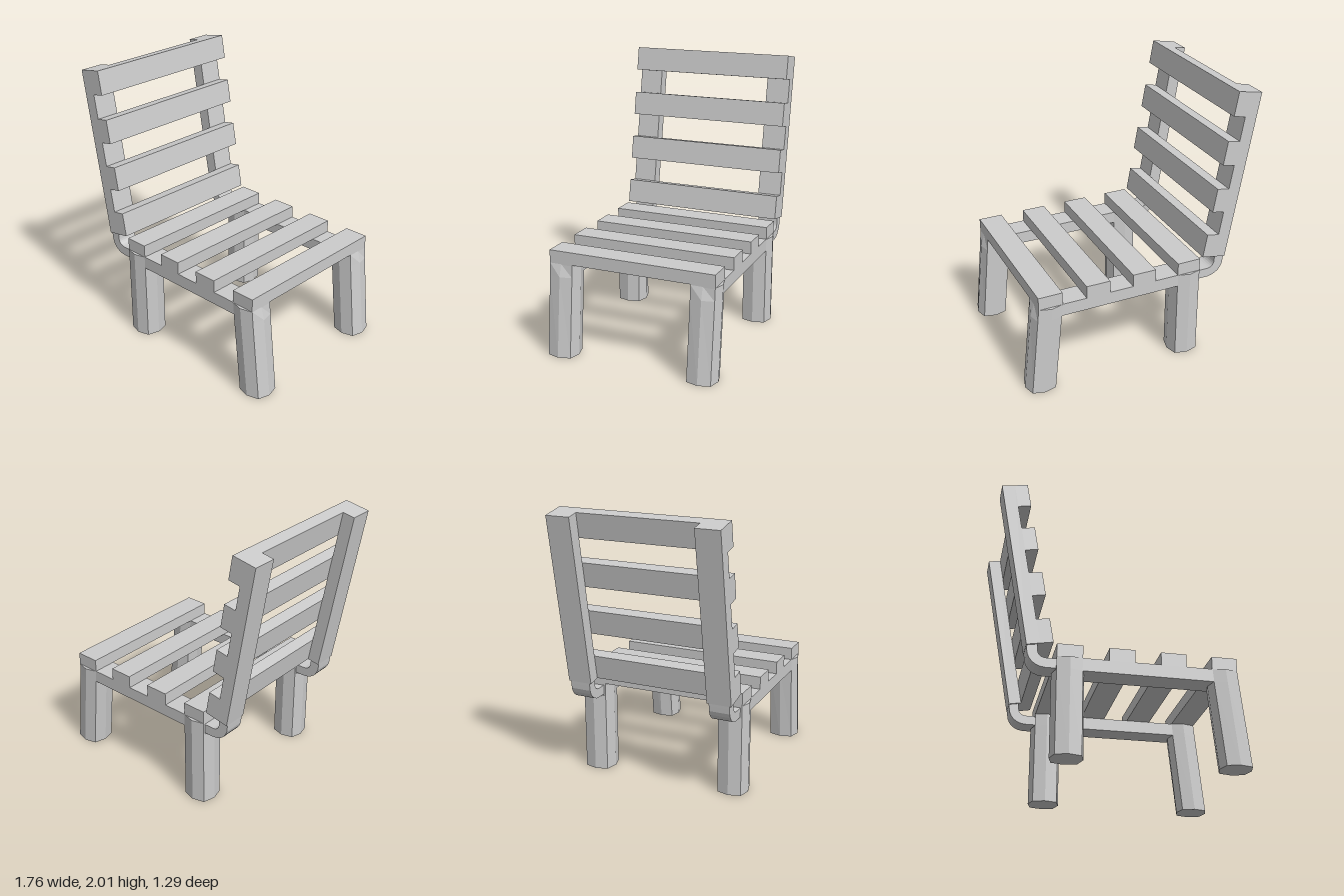
import * as THREE from 'three';

const LENGTH = 1.245;    // length of the seat panel and of the back panel
const RAIL_Z = 0.533;    // centre line of rails and legs
const RAIL_W = 0.177;
const THICK = 0.092;
const SLAT_W = 0.177;
const SLAT_COUNT = 4;
const SEAT_BACK_X = -0.46;
const SEAT_Y = 0.588;

const material = new THREE.MeshStandardMaterial({ color: 0xcccccc, flatShading: true });

function addMesh(parent, name, geometry, x = 0, y = 0, z = 0) {
  const mesh = new THREE.Mesh(geometry, material);
  mesh.name = name;
  mesh.position.set(x, y, z);
  parent.add(mesh);
  return mesh;
}

// Slatted panel: two rails along +x from the origin, slats lying on top of them
function makePanel(name) {
  const panel = new THREE.Group();
  panel.name = name;
  for (const side of [-1, 1]) {
    addMesh(panel, name + 'Rail', new THREE.BoxGeometry(LENGTH, THICK, RAIL_W),
      LENGTH / 2, THICK / 2, side * RAIL_Z);
  }
  const step = (LENGTH - SLAT_W) / (SLAT_COUNT - 1);
  for (let i = 0; i < SLAT_COUNT; i++) {
    addMesh(panel, name + 'Slat', new THREE.BoxGeometry(SLAT_W, THICK, 2 * RAIL_Z + RAIL_W),
      SLAT_W / 2 + i * step, THICK * 1.5, 0);
  }
  return panel;
}

// Eight-sided leg lofted through rings of { x, y, side }, side = reach of the x points
function legGeometry(rings) {
  const c = 0.088, r = 0.112;
  const loops = rings.map(({ x, y, side }) =>
    [[side, 0], [c, c], [0, r], [-c, c], [-side, 0], [-c, -c], [0, -r], [c, -c]]
      .map(([px, pz]) => [x + px, y, pz]));
  const positions = [];
  const tri = (...points) => points.forEach((p) => positions.push(...p));
  const first = rings[0], last = rings[rings.length - 1];
  for (let i = 0; i < 8; i++) {
    const j = (i + 1) % 8;
    for (let k = 0; k < loops.length - 1; k++) {
      const lo = loops[k], hi = loops[k + 1];
      tri(lo[i], hi[i], hi[j]);
      tri(lo[i], hi[j], lo[j]);
    }
    tri([first.x, first.y, 0], loops[0][i], loops[0][j]);
    const top = loops[loops.length - 1];
    tri([last.x, last.y, 0], top[j], top[i]);
  }
  const geometry = new THREE.BufferGeometry();
  geometry.setAttribute('position', new THREE.Float32BufferAttribute(positions, 3));
  geometry.computeVertexNormals();
  return geometry;
}

// Bent bracket joining a seat rail to a back rail
function bracketGeometry() {
  const depth = 0.15;
  const shape = new THREE.Shape();
  shape.moveTo(-0.44, 0.597);
  shape.lineTo(-0.535, 0.597);
  shape.bezierCurveTo(-0.605, 0.6, -0.66, 0.65, -0.66, 0.725);
  shape.lineTo(-0.664, 0.76);
  shape.lineTo(-0.591, 0.772);
  shape.lineTo(-0.588, 0.725);
  shape.bezierCurveTo(-0.587, 0.69, -0.57, 0.668, -0.53, 0.666);
  shape.lineTo(-0.44, 0.666);
  const geometry = new THREE.ExtrudeGeometry(shape, { depth, bevelEnabled: false, curveSegments: 6 });
  geometry.translate(0, 0, -depth / 2);
  return geometry;
}

export function createModel() {
  const chair = new THREE.Group();
  chair.name = 'slattedChair';

  // Seat
  const seat = makePanel('seat');
  seat.position.set(SEAT_BACK_X, SEAT_Y, 0);
  chair.add(seat);

  // Backrest: the same panel, stood up and leaning back by ten degrees
  const backrest = makePanel('backrest');
  backrest.position.set(-0.664, 0.747, 0);
  backrest.rotation.z = THREE.MathUtils.degToRad(100);
  backrest.scale.y = -1; // slats face the sitter
  chair.add(backrest);

  // Upright rear legs and splayed front legs, notched under the seat ends
  const topY = SEAT_Y + THICK - 0.002;
  const rearX = SEAT_BACK_X + SLAT_W / 2;
  const frontX = SEAT_BACK_X + LENGTH - SLAT_W / 2;
  const rearLeg = legGeometry([
    { x: rearX, y: 0, side: 0.112 },
    { x: rearX, y: SEAT_Y, side: 0.112 },
    { x: rearX, y: SEAT_Y, side: 0.088 },
    { x: rearX, y: topY, side: 0.088 },
  ]);
  const frontLeg = legGeometry([
    { x: frontX + 0.067, y: 0, side: 0.112 },
    { x: frontX + 0.008, y: SEAT_Y, side: 0.108 },
    { x: frontX, y: topY, side: 0.088 },
  ]);
  const bracket = bracketGeometry();
  for (const side of [-1, 1]) {
    addMesh(chair, 'rearLeg', rearLeg, 0, 0, side * RAIL_Z);
    addMesh(chair, 'frontLeg', frontLeg, 0, 0, side * RAIL_Z);
    addMesh(chair, 'bracket', bracket, 0, 0, side * RAIL_Z);
  }
  return chair;
}
